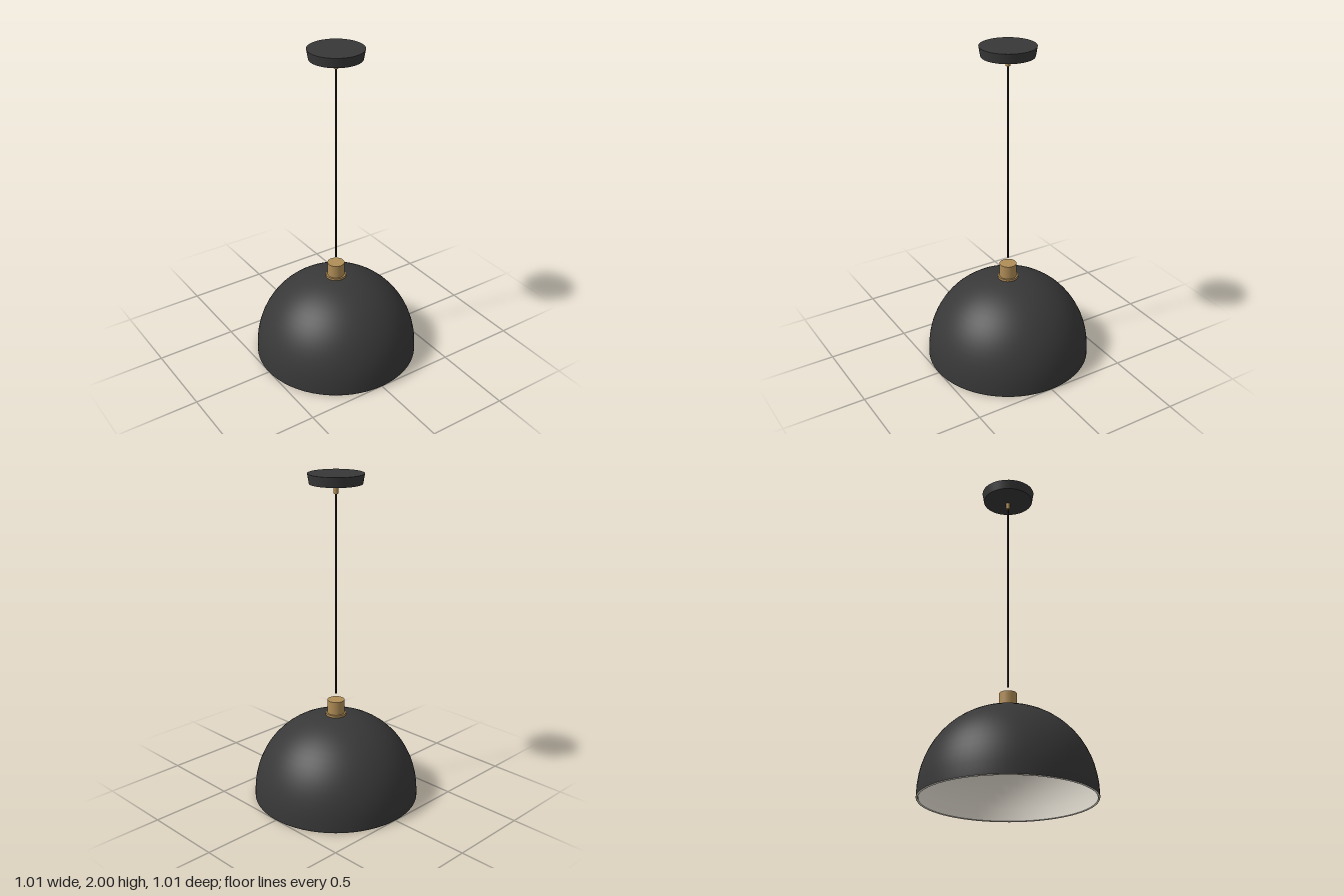
import * as THREE from 'three';

const material = (name, color, side = THREE.FrontSide) => {
  const m = new THREE.MeshStandardMaterial({ color, side });
  m.name = name;
  return m;
};

export function createModel() {
  const lamp = new THREE.Group();
  lamp.name = 'pendantLamp';

  const black = material('matteBlack', 0x383838);
  const cream = material('creamLining', 0xe8e2d6);
  const brass = material('brass', 0xb08d57);
  const cordBlack = material('cordBlack', 0x1a1a1a);
  const glass = material('bulbWhite', 0xf0ebe0);

  const add = (name, geometry, mat, y = 0) => {
    const mesh = new THREE.Mesh(geometry, mat);
    mesh.name = name;
    mesh.position.y = y;
    lamp.add(mesh);
    return mesh;
  };
  const rod = (name, r, y0, y1, mat, sides = 32) =>
    add(name, new THREE.CylinderGeometry(r, r, y1 - y0, sides), mat, (y0 + y1) / 2);
  const lathe = (points, sides) =>
    new THREE.LatheGeometry(points.map(([r, y]) => new THREE.Vector2(r, y)), sides);

  // Dome shade: quarter-round profile with a slightly flattened crown
  const dome = (radius, height, bottom) => {
    const points = [[radius, bottom]];
    for (let i = 0; i <= 16; i++) {
      const a = (i / 16) * Math.PI / 2;
      points.push([
        radius * Math.pow(Math.cos(a), 0.97),
        0.025 + (height - 0.025) * Math.pow(Math.sin(a), 0.97),
      ]);
    }
    points[points.length - 1][0] = 0;
    return points;
  };
  add('shadeOuter', lathe(dome(0.505, 0.537, 0.005), 64), black);
  add('shadeLining', lathe(dome(0.493, 0.525, 0.005).reverse(), 64), cream);
  add('shadeRim', lathe([[0.493, 0.005], [0.496, 0.001], [0.499, 0], [0.502, 0.001], [0.505, 0.005]], 64), cream);

  // Brass cap on the crown
  rod('capFlange', 0.062, 0.53, 0.547, brass);
  rod('cap', 0.052, 0.54, 0.63, brass);

  // Socket and bulb inside the shade
  rod('socket', 0.05, 0.4, 0.53, brass);
  const bulb = [];
  for (let i = 0; i <= 16; i++) {
    const a = -Math.PI / 2 + (i / 16) * 2.55;
    bulb.push([Math.max(0, 0.12 * Math.cos(a)), 0.274 + 0.12 * Math.sin(a)]);
  }
  bulb.push([0.045, 0.392], [0.04, 0.42]);
  add('bulb', lathe(bulb, 32), glass);

  // Cord and its brass grip
  rod('cord', 0.006, 0.67, 1.93, cordBlack, 12);
  rod('cordGrip', 0.013, 1.885, 1.94, brass, 16);

  // Ceiling canopy: tapered side with a shallow cone below
  add('canopySide', new THREE.CylinderGeometry(0.163, 0.153, 0.058, 48, 1, true), black, 1.971);
  add('canopyUnderside', lathe([[0, 1.928], [0.03, 1.928], [0.153, 1.942]], 48), black);
  const top = add('canopyTop', new THREE.CircleGeometry(0.163, 48), black, 2);
  top.rotation.x = -Math.PI / 2;

  return lamp;
}
